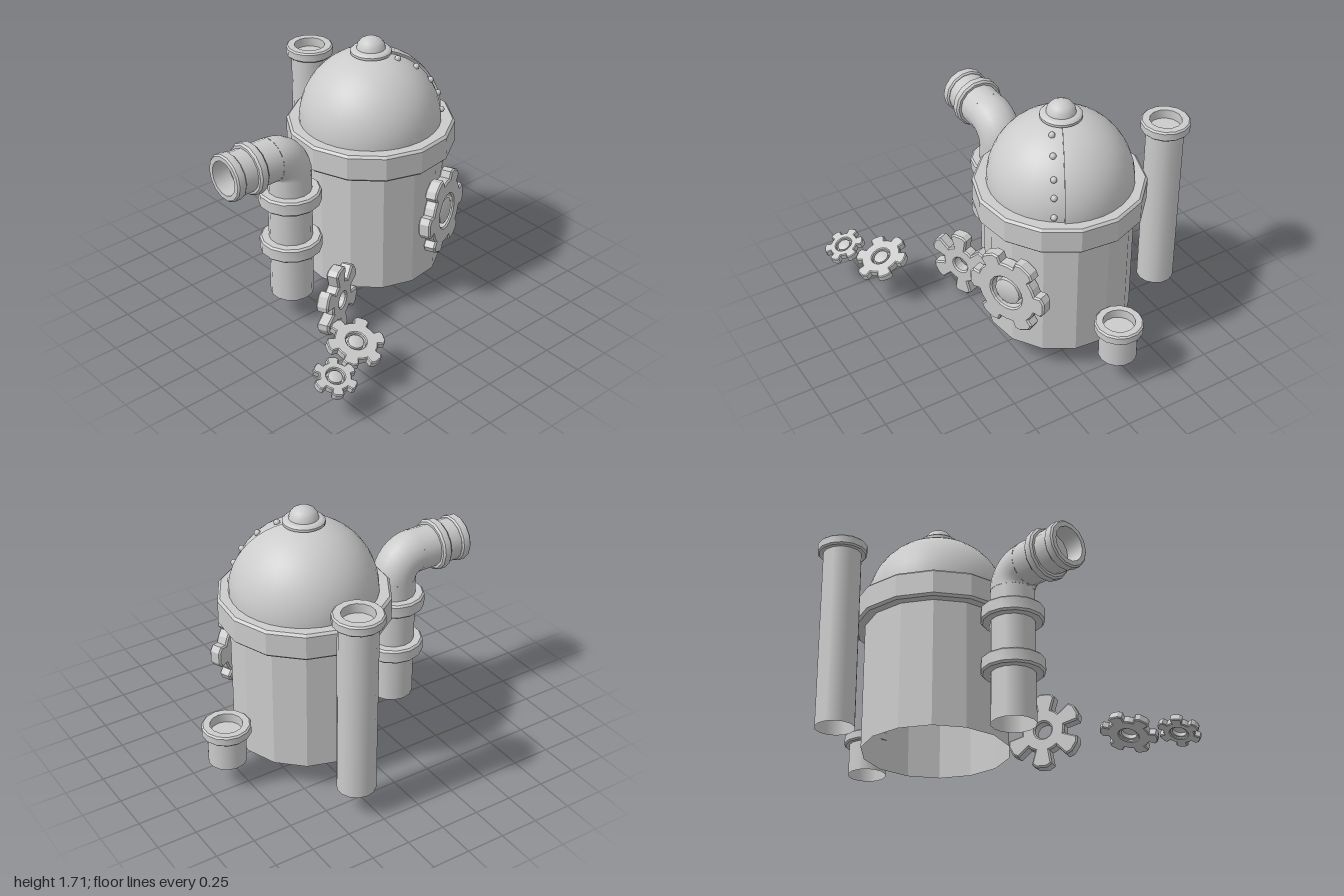
import * as THREE from 'three';
import { toCreasedNormals } from 'three/addons/utils/BufferGeometryUtils.js';

const smooth = new THREE.MeshStandardMaterial({ color: 0xcccccc, side: THREE.DoubleSide });
const flat = new THREE.MeshStandardMaterial({ color: 0xcccccc, side: THREE.DoubleSide, flatShading: true });
const SIDES = 14;

function add(parent, name, geometry, x = 0, y = 0, z = 0, material = smooth) {
  const mesh = new THREE.Mesh(geometry, material);
  mesh.name = name;
  mesh.position.set(x, y, z);
  parent.add(mesh);
  return mesh;
}

function lathe(points, sides = SIDES) {
  const profile = points.map(([r, y]) => new THREE.Vector2(r, y));
  return toCreasedNormals(new THREE.LatheGeometry(profile, sides), 0.6);
}

// Open-ended straight pipe standing on its lower end
const pipe = (r, h) => new THREE.CylinderGeometry(r, r, h, SIDES, 1, true).translate(0, h / 2, 0);

// Bevelled band around a pipe
function collar(inner, outer, h, b = 0.012) {
  return lathe([[inner, 0], [outer - b, 0], [outer, b], [outer, h - b], [outer - b, h], [inner, h]]);
}

// Bevelled pipe end with a recessed opening
function mouth(inner, outer, h, depth = 0.06, b = 0.01) {
  return lathe([[inner, 0], [outer - b, 0], [outer, b], [outer, h - b], [outer - b, h],
    [inner, h], [inner, h - depth], [0, h - depth]]);
}

// Six flared teeth around a disc with a round hole, facing +z
function gearGeometry(R, root, hole, thick, turn) {
  const shape = new THREE.Shape();
  const bevel = thick * 0.12;
  for (let i = 0; i < 6; i++) {
    const a = turn + i * Math.PI / 3;
    const corners = [[root, -0.27], [R * 0.95, -0.25], [R, -0.13], [R, 0.13], [R * 0.95, 0.25],
      [root, 0.27], [root, 0.52]];
    corners.forEach(([r, da], k) => {
      const x = (r - bevel) * Math.cos(a + da), y = (r - bevel) * Math.sin(a + da);
      if (i + k === 0) shape.moveTo(x, y); else shape.lineTo(x, y);
    });
  }
  shape.closePath();
  shape.holes.push(new THREE.Path().absarc(0, 0, hole + bevel, 0, Math.PI * 2, true));
  return new THREE.ExtrudeGeometry(shape, {
    depth: thick - 2 * bevel, bevelThickness: bevel, bevelSize: bevel, bevelSegments: 1, curveSegments: 8,
  }).translate(0, 0, -thick / 2 + bevel);
}

function gear(parent, name, { R, root, hole, thick, turn, pos, rot, hub = true }) {
  const group = new THREE.Group();
  group.name = name;
  group.position.set(...pos);
  group.rotation.set(...rot);
  add(group, 'toothedWheel', gearGeometry(R, root, hole, thick, turn));
  if (hub) {
    // Axle boss sitting in the recessed hole
    const t = thick / 2;
    const boss = lathe([[hole, -t * 0.4], [hole * 0.78, -t * 0.4], [hole * 0.78, t * 0.7],
      [hole * 0.65, t * 0.9], [0, t * 0.9]], 16);
    add(group, 'hub', boss.rotateX(Math.PI / 2));
  }
  parent.add(group);
}

export function createModel() {
  const model = new THREE.Group();
  const cx = 0.25, cz = -0.12;

  // Faceted tank and its rim
  add(model, 'tankBody', pipe(0.46, 0.85), cx, 0.175, cz, flat).rotation.y = -0.09;
  add(model, 'tankRim', collar(0.43, 0.53, 0.175, 0.015), cx, 0.99, cz, flat).rotation.y = -0.09;

  // Dome made of one plate that wraps round and overlaps itself at the seam
  const seam = 0.5, domeY = 1.165;
  const dome = new THREE.SphereGeometry(1, 36, 12, Math.PI - seam, Math.PI * 2, 0, Math.PI / 2);
  const p = dome.attributes.position, uv = dome.attributes.uv;
  for (let i = 0; i < p.count; i++) {
    const r = 0.456 - 0.014 * uv.getX(i);
    p.setXYZ(i, p.getX(i) * r, p.getY(i) * r, p.getZ(i) * r);
  }
  add(model, 'dome', dome, cx, domeY, cz);

  // Rivets in a row beside the seam
  const rivet = new THREE.SphereGeometry(0.02, 10, 8);
  for (const y of [1.2, 1.32, 1.415, 1.515, 1.58]) {
    const h = y - domeY, side = 0.062;
    const out = Math.sqrt(0.447 ** 2 - h * h - side * side);
    add(model, 'rivet', rivet,
      cx + out * Math.cos(seam) - side * Math.sin(seam), y,
      cz + out * Math.sin(seam) + side * Math.cos(seam));
  }

  // Finial on the dome
  add(model, 'finial', lathe([[0.1, 0], [0.128, 0.002], [0.128, 0.018], [0.115, 0.03], [0.09, 0.034],
    [0.084, 0.06], [0.065, 0.085], [0.035, 0.102], [0, 0.107]], 20), cx, 1.608, cz);

  // Upright pipes with open mouths
  const uprights = [
    ['tallPipe', 0.335, -0.825, 1.32, 0.155],
    ['shortPipe', 0.85, -0.18, 0.37, 0.152],
  ];
  for (const [name, x, z, top, R] of uprights) {
    add(model, name, pipe(0.12, top - 0.175 + 0.01), x, 0.175, z);
    add(model, name + 'Mouth', mouth(0.1, R, 0.066), x, top, z);
  }

  // Elbow pipe: riser, bend and outlet
  const elbow = new THREE.Group();
  elbow.name = 'elbowPipe';
  elbow.position.set(-0.42, 0, -0.1);
  model.add(elbow);
  const r = 0.137, bend = 0.14, bendY = 1.025, axisY = bendY + bend;
  add(elbow, 'riser', pipe(r, bendY - 0.17), 0, 0.17, 0);
  add(elbow, 'bend', new THREE.TorusGeometry(bend, r, 20, 8, Math.PI / 2), -bend, bendY, 0);
  add(elbow, 'outlet', pipe(r, 0.3), -bend, axisY, 0).rotation.z = Math.PI / 2;
  for (const y of [0.485, 0.82]) add(elbow, 'riserCollar', collar(0.13, 0.195, 0.095), 0, y, 0);
  add(elbow, 'outletCollar', collar(0.13, 0.165, 0.065), -0.265, axisY, 0).rotation.z = Math.PI / 2;
  add(elbow, 'outletMouth', mouth(0.11, 0.15, 0.065, 0.12), -0.42, axisY, 0).rotation.z = Math.PI / 2;

  // Gears: one on the tank, one beside it, two lying in front
  gear(model, 'tankGear', { R: 0.275, root: 0.215, hole: 0.112, thick: 0.08, turn: 0,
    pos: [0.44, 0.62, 0.345], rot: [0, 0.41, 0] });
  gear(model, 'sideGear', { R: 0.235, root: 0.135, hole: 0.052, thick: 0.08, turn: Math.PI / 2 + 0.06,
    pos: [-0.335, 0.235, 0.24], rot: [0, 0.44, 0], hub: false });
  gear(model, 'frontGear', { R: 0.18, root: 0.132, hole: 0.062, thick: 0.05, turn: 0.27 + Math.PI / 6 * 0.8,
    pos: [-0.59, 0.285, 0.71], rot: [-1.22, 0, 0] });
  gear(model, 'smallGear', { R: 0.134, root: 0.096, hole: 0.055, thick: 0.045, turn: 0,
    pos: [-0.866, 0.253, 0.85], rot: [-1.22, 0, 0] });

  return model;
}
